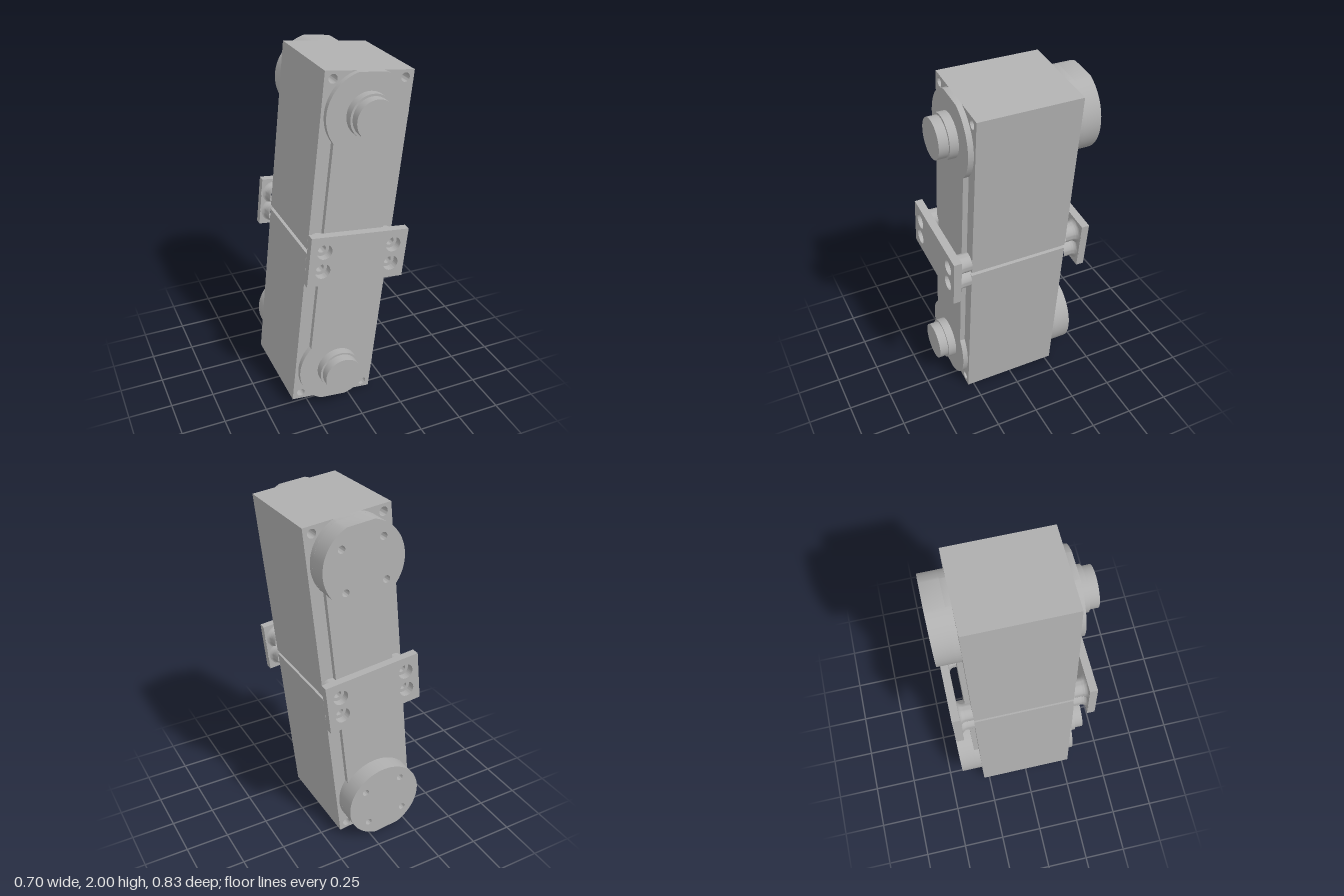
import * as THREE from 'three';
import { toCreasedNormals } from 'three/addons/utils/BufferGeometryUtils.js';

const HALF_W = 0.245, HALF_L = 0.979, FACE = 0.285; // body half sizes
const R = 0.228, CY = 0.764;                        // round end radius and centre
const WAIST = 0.174;                                // half width of the narrow cover part
const BOLT_X = 0.2, BOLT_Y = 0.057, HOLE = 0.024;
const CLIP = Math.asin((HALF_L - CY) / R);          // where the round end meets the body end

function rect(x0, y0, x1, y1) {
  return new THREE.Shape([[x0, y0], [x1, y0], [x1, y1], [x0, y1]].map(p => new THREE.Vector2(...p)));
}

function drill(shape, x, y, r) {
  shape.holes.push(new THREE.Path().absarc(x, y, r, 0, Math.PI * 2, true));
}

function extrude(shape, z0, z1) {
  const g = new THREE.ExtrudeGeometry(shape, { depth: z1 - z0, bevelEnabled: false, curveSegments: 32 });
  g.translate(0, 0, z0);
  return toCreasedNormals(g, 0.6);
}

export function createModel() {
  const grey = new THREE.MeshStandardMaterial({ color: 0xb0b0b0 });
  grey.name = 'plain grey';
  const model = new THREE.Group();
  model.name = 'linkedBlocks';
  const tilted = new THREE.Group();
  tilted.name = 'tiltedAssembly';
  tilted.position.y = 1;
  tilted.rotation.z = -0.1067;
  model.add(tilted);

  function add(name, geometry, parent = tilted) {
    const mesh = new THREE.Mesh(geometry, grey);
    mesh.name = name;
    parent.add(mesh);
    return mesh;
  }

  // Two half bodies with through holes, separated by a narrow groove
  for (const s of [1, -1]) {
    const y0 = s > 0 ? 0.012 : -HALF_L, y1 = s > 0 ? HALF_L : -0.012;
    const body = rect(-HALF_W, y0, HALF_W, y1);
    for (const sx of [1, -1]) {
      drill(body, sx * 0.198, s * 0.939, HOLE);
      drill(body, sx * BOLT_X, s * BOLT_Y, HOLE);
    }
    add(s > 0 ? 'upperBody' : 'lowerBody', extrude(body, -FACE, FACE));
  }
  add('grooveCore', new THREE.BoxGeometry(0.45, 0.03, 0.55));

  // Cover plates with round ends cut flush with the body ends
  const w = Math.acos(WAIST / R);
  const cover = new THREE.Shape();
  cover.absarc(0, CY, R, -w, CLIP, false);
  cover.absarc(0, CY, R, Math.PI - CLIP, Math.PI + w, false);
  cover.absarc(0, -CY, R, Math.PI - w, Math.PI + CLIP, false);
  cover.absarc(0, -CY, R, -CLIP, w, false);
  cover.closePath();
  add('frontCover', extrude(cover, FACE, 0.315));
  add('backCover', extrude(cover, -0.315, -FACE));

  for (const s of [1, -1]) {
    const end = s > 0 ? 'upper' : 'lower';

    // Stepped shaft boss on the front
    for (const [name, r, z0, z1] of [['BossBase', 0.12, 0.31, 0.362], ['BossTip', 0.108, 0.36, 0.414]]) {
      const boss = new THREE.CylinderGeometry(r, r, z1 - z0, 48);
      boss.rotateX(Math.PI / 2);
      boss.translate(0, s * CY, (z0 + z1) / 2);
      add(end + name, boss);
    }

    // Thick flange on the back with four bolt holes and a flat outer end
    const flange = new THREE.Shape();
    flange.absarc(0, 0, R, Math.PI - CLIP, Math.PI * 2 + CLIP, false);
    flange.closePath();
    for (const sx of [1, -1]) for (const sy of [1, -1]) drill(flange, sx * 0.115, sy * 0.115, 0.02);
    const geometry = extrude(flange, -0.414, -0.314);
    if (s < 0) geometry.rotateZ(Math.PI);
    geometry.translate(0, s * CY, 0);
    add(end + 'Flange', geometry);
  }

  // Bridge plates on flared hollow posts, front and back
  const profile = [];
  for (let i = 0; i <= 10; i++) {
    const a = i / 10 * Math.PI / 2;
    profile.push(new THREE.Vector2(0.083 - 0.03 * Math.cos(a), 0.045 + 0.032 * Math.sin(a)));
  }
  profile.unshift(new THREE.Vector2(0.053, 0));
  profile.push(new THREE.Vector2(HOLE, 0.077), new THREE.Vector2(HOLE, 0));
  const post = toCreasedNormals(new THREE.LatheGeometry(profile, 40).rotateX(Math.PI / 2), 0.6);

  const plate = rect(-0.281, -0.144, 0.281, 0.144);
  for (const sx of [1, -1]) for (const sy of [1, -1]) drill(plate, sx * BOLT_X, sy * BOLT_Y, 0.043);
  const plateGeometry = extrude(plate, 0.36, 0.405);

  for (const side of ['front', 'back']) {
    const bridge = new THREE.Group();
    bridge.name = side + 'Bridge';
    if (side === 'back') bridge.rotation.y = Math.PI;
    tilted.add(bridge);
    add('bridgePlate', plateGeometry, bridge);
    for (const sx of [1, -1]) for (const sy of [1, -1]) {
      add('flaredPost', post, bridge).position.set(sx * BOLT_X, sy * BOLT_Y, FACE);
    }
  }
  return model;
}
